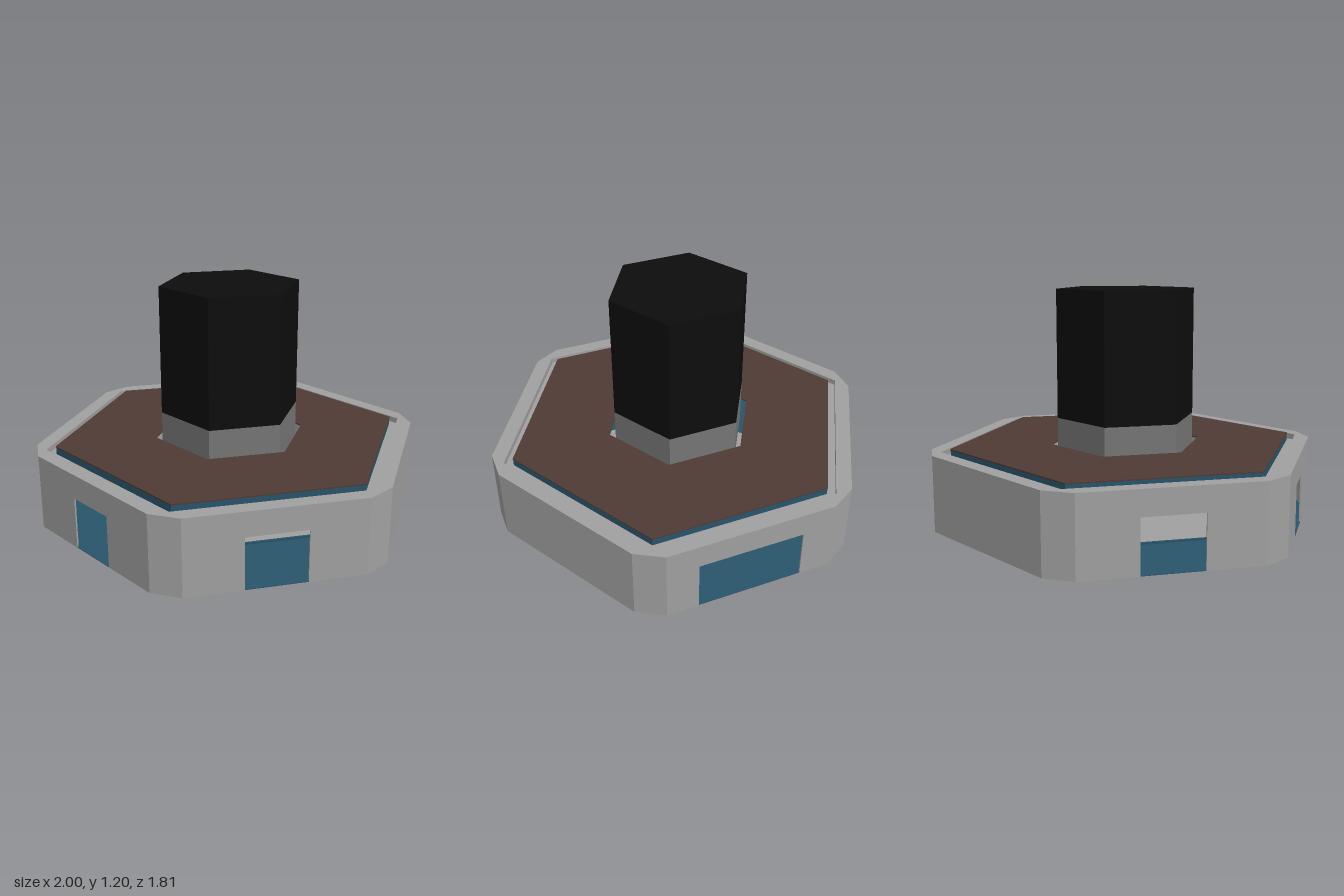
import * as THREE from 'three';

const mat = (name, color) => {
  const m = new THREE.MeshStandardMaterial({ color });
  m.name = name;
  return m;
};

// Hexagon corners with points on +x and -x
const hexPoints = (r) => Array.from({ length: 6 }, (_, i) =>
  new THREE.Vector2(r * Math.cos(i * Math.PI / 3), r * Math.sin(i * Math.PI / 3)));

// Hexagon with cut corners; c is half the width of each cut
const cutHexPoints = (r, c) => {
  const pts = [];
  for (let i = 0; i < 6; i++) {
    for (const s of [-c, c]) {
      pts.push(new THREE.Vector2(r, s).rotateAround(new THREE.Vector2(), i * Math.PI / 3));
    }
  }
  return pts;
};

export function createModel() {
  const group = new THREE.Group();
  const gray = mat('light gray wall', 0xa0a0a0);
  const darkGray = mat('dark gray collar', 0x757575);
  const brown = mat('brown roof', 0x503b35);
  const black = mat('black tower', 0x0d0d0d);
  const blue = mat('deep blue', 0x29546a);

  const add = (name, geo, material) => {
    const mesh = new THREE.Mesh(geo, material);
    mesh.name = name;
    group.add(mesh);
    return mesh;
  };

  // Upright prism from y0 to y1, with an optional hole
  const prism = (name, outline, y0, y1, material, hole) => {
    const shape = new THREE.Shape(outline);
    if (hole) shape.holes.push(new THREE.Path(hole));
    const geo = new THREE.ExtrudeGeometry(shape, { depth: y1 - y0, bevelEnabled: false });
    geo.rotateX(-Math.PI / 2).translate(0, y0, 0);
    return add(name, geo, material);
  };

  // Thin wall panel at a given distance and heading, with an optional doorway
  const R = 1, CUT = 0.078, TOP = 0.39, DOOR = 0.265;
  const panel = (name, halfWidth, distance, angle, halfDoor) => {
    const p = [[-halfWidth, 0]];
    if (halfDoor) p.push([-halfDoor, 0], [-halfDoor, DOOR], [halfDoor, DOOR], [halfDoor, 0]);
    p.push([halfWidth, 0], [halfWidth, TOP], [-halfWidth, TOP]);
    const shape = new THREE.Shape(p.map(([x, y]) => new THREE.Vector2(x, y)));
    const geo = new THREE.ExtrudeGeometry(shape, { depth: 0.008, bevelEnabled: false });
    geo.translate(0, 0, distance - 0.008).rotateY(angle);
    add(name, geo, gray);
  };

  // Side walls: doors on the front three sides and a wide one at the back
  const corner = new THREE.Vector2(R, CUT).rotateAround(new THREE.Vector2(), Math.PI / 3);
  const halfDoors = [0.13, 0.15, 0, 0.27, 0, 0.15];
  halfDoors.forEach((halfDoor, i) => {
    const angle = i * Math.PI / 3;
    panel('sideWall', corner.x, corner.y, angle, halfDoor);
    panel('cornerWall', CUT, R, angle + Math.PI / 6, 0);
  });

  // Rim and the ledge that carries the roof
  const outer = cutHexPoints(R - 0.001, CUT);
  prism('rim', outer, 0.36, TOP, gray, hexPoints(0.957));
  prism('roofLedge', cutHexPoints(0.99, CUT), 0.35, 0.36, gray, hexPoints(0.89));

  // Roof plate with blue edging
  prism('roofEdging', hexPoints(0.908), 0.361, 0.399, blue, hexPoints(0.9));
  prism('roof', hexPoints(0.91), 0.397, 0.404, brown, hexPoints(0.395));

  // Floor with a raised frame around the central plate
  prism('floor', outer, 0, 0.003, blue, hexPoints(0.585));
  prism('floorFrame', hexPoints(0.592), 0.001, 0.014, blue, hexPoints(0.58));
  prism('floorPlate', hexPoints(0.581), 0.006, 0.012, gray);

  // Central tower
  prism('towerCollar', hexPoints(0.362), 0.3, 0.54, darkGray);
  prism('tower', hexPoints(0.362), 0.54, 1.2, black);

  return group;
}
